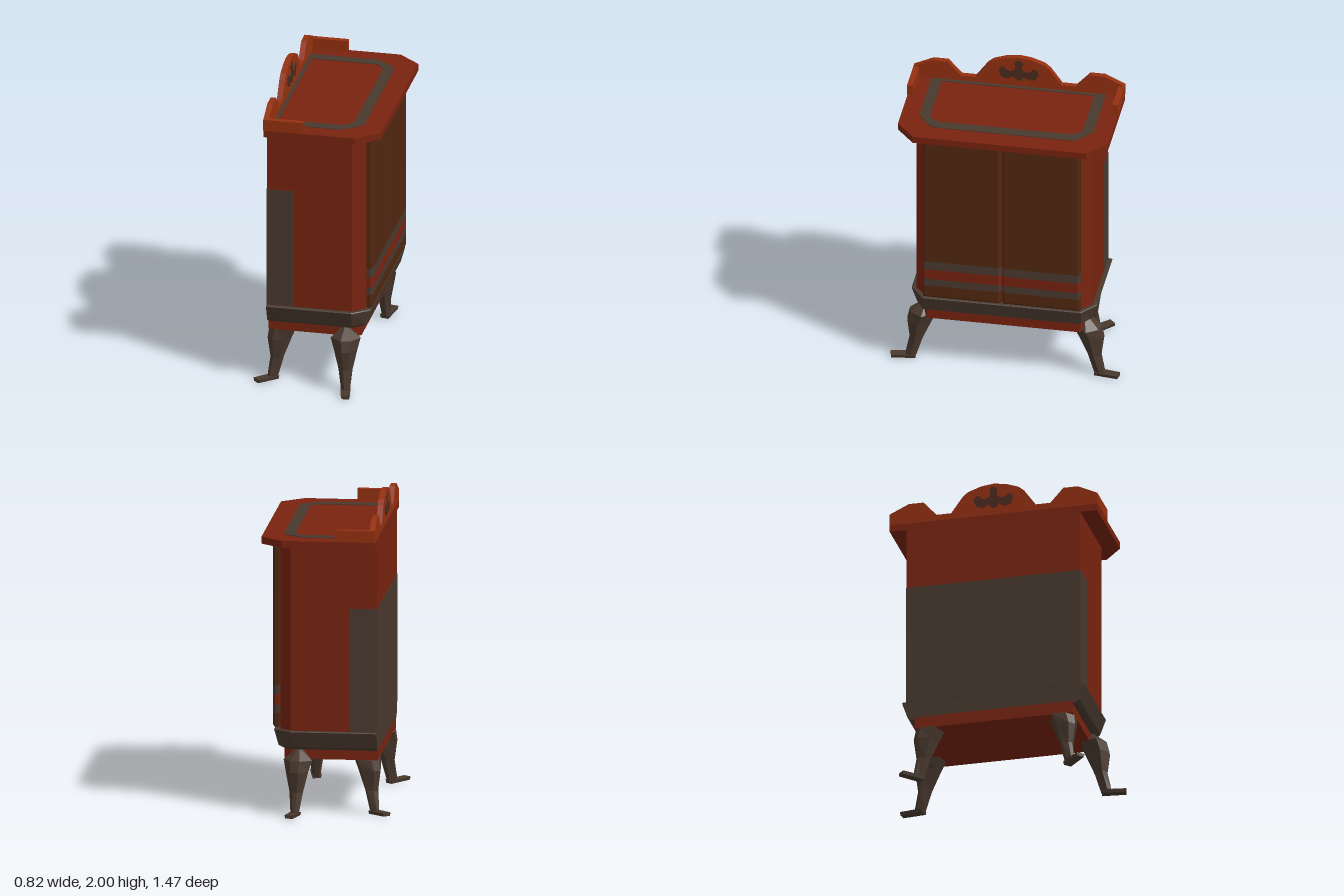
import * as THREE from 'three';

const mat = (name, color) => {
  const m = new THREE.MeshStandardMaterial({ color });
  m.name = name;
  return m;
};

// Flat-shaded solid through stacked convex rings of [x, y, z] points
function loft(rings) {
  const v = [];
  const tri = (a, b, c) => v.push(...a, ...b, ...c);
  const n = rings[0].length;
  for (let k = 0; k < rings.length - 1; k++) {
    for (let i = 0; i < n; i++) {
      const j = (i + 1) % n, lo = rings[k], hi = rings[k + 1];
      tri(lo[i], hi[i], hi[j]);
      tri(lo[i], hi[j], lo[j]);
    }
  }
  const bottom = rings[0], top = rings[rings.length - 1];
  for (let i = 1; i < n - 1; i++) {
    tri(bottom[0], bottom[i], bottom[i + 1]);
    tri(top[0], top[i + 1], top[i]);
  }
  const g = new THREE.BufferGeometry();
  g.setAttribute('position', new THREE.Float32BufferAttribute(v, 3));
  g.computeVertexNormals();
  return g;
}

// Cabinet plan with the two front corners cut off
const plan = (y, x1, xc, z, zc, x0 = -0.325) =>
  [[x1, y, zc], [xc, y, z], [x0, y, z], [x0, y, -z], [xc, y, -z], [x1, y, -zc]];

// Closed symmetric shape from the points of its right half
function mirrored(half) {
  const pts = half.map(([a, b]) => new THREE.Vector2(a, b));
  const other = half.filter(([a]) => a > 0).reverse().map(([a, b]) => new THREE.Vector2(-a, b));
  return new THREE.Shape([...pts, ...other]);
}

export function createModel() {
  const red = mat('red wood', 0x78230f);
  const orange = mat('orange wood', 0x94300f);
  const iron = mat('dark iron', 0x49392e);
  const brown = mat('brown door', 0x512710);
  const carving = mat('dark carving', 0x4a2a1c);

  const model = new THREE.Group();
  const add = (name, geometry, material, parent = model) => {
    const mesh = new THREE.Mesh(geometry, material);
    mesh.name = name;
    parent.add(mesh);
    return mesh;
  };
  const box = (name, material, x0, x1, y0, y1, z0, z1) =>
    add(name, new THREE.BoxGeometry(x1 - x0, y1 - y0, z1 - z0), material)
      .position.set((x0 + x1) / 2, (y0 + y1) / 2, (z0 + z1) / 2);

  // Carcass
  add('base', loft([plan(0.35, 0.27, 0.22, 0.515, 0.49), plan(0.43, 0.27, 0.22, 0.515, 0.49)]), red);
  add('plinth', loft([
    plan(0.415, 0.275, 0.215, 0.535, 0.49),
    plan(0.435, 0.307, 0.22, 0.56, 0.505),
    plan(0.535, 0.335, 0.225, 0.595, 0.51),
    plan(0.54, 0.33, 0.225, 0.59, 0.505),
  ]), iron);
  add('body', loft([plan(0.54, 0.295, 0.225, 0.565, 0.5), plan(1.74, 0.295, 0.225, 0.565, 0.5)]), red);
  add('topSlab', loft([plan(1.74, 0.41, 0.27, 0.675, 0.555), plan(1.785, 0.41, 0.27, 0.675, 0.555)]), red);

  // Dark panel wrapping the back and the rear of both sides
  box('backPanel', iron, -0.328, -0.155, 0.54, 1.335, -0.568, 0.568);

  // Inlaid band on the top
  const outline = (x0, x1, xc, z, zc) =>
    [[x0, -z], [xc, -z], [x1 - 0.025, -zc - 0.045], [x1, -zc], [x1, zc], [x1 - 0.025, zc + 0.045], [xc, z], [x0, z]]
      .map(([x, y]) => new THREE.Vector2(x, y));
  const band = new THREE.Shape(outline(-0.29, 0.28, 0.15, 0.56, 0.44));
  band.holes.push(new THREE.Path(outline(-0.265, 0.21, 0.15, 0.49, 0.42)));
  const inlay = new THREE.ExtrudeGeometry(band, { depth: 0.004, bevelEnabled: false });
  add('topInlay', inlay.rotateX(-Math.PI / 2), iron).position.y = 1.785;

  // Doors with bevelled edges, striped across the lower part
  const stripes = [[0.565, 0.64, brown], [0.64, 0.69, iron], [0.69, 0.76, red], [0.76, 0.82, iron], [0.82, 1.715, brown]];
  for (const side of [-1, 1]) {
    const door = new THREE.Group();
    door.name = side > 0 ? 'leftDoor' : 'rightDoor';
    model.add(door);
    const zc = side * 0.255, h = 0.25, b = 0.014;
    const ring = (y, x1 = 0.345) => [
      [x1, y, zc + h - b], [0.33, y, zc + h], [0.305, y, zc + h],
      [0.305, y, zc - h], [0.33, y, zc - h], [x1, y, zc - h + b],
    ];
    for (const [y0, y1, m] of stripes) {
      const rings = [ring(y0), ring(y1)];
      if (y0 === 0.565) rings.unshift(ring(0.55, 0.332));
      if (y1 === 1.715) rings.push(ring(1.73, 0.332));
      add('doorSection', loft(rings), m, door);
    }
  }

  // Scalloped backboard and its short side rails
  const crest = mirrored([
    [0.677, 1.785], [0.677, 1.86], [0.55, 1.92], [0.455, 1.92], [0.37, 1.825], [0.275, 1.825],
    [0.2, 1.93], [0.165, 1.96], [0.08, 1.99], [0, 2],
  ]);
  const crestGeo = new THREE.ExtrudeGeometry(crest, { depth: 0.036, bevelEnabled: false });
  add('backboard', crestGeo.rotateY(Math.PI / 2), orange).position.x = -0.325;
  for (const s of [-1, 1]) {
    box('sideRail', orange, -0.29, -0.065, 1.785, 1.86, Math.min(s * 0.64, s * 0.677), Math.max(s * 0.64, s * 0.677));
  }

  // Carved flourish on both faces of the backboard
  const flourish = mirrored([
    [0, 1.83], [0.022, 1.84], [0.03, 1.86], [0.07, 1.84], [0.105, 1.845], [0.127, 1.88], [0.122, 1.915],
    [0.095, 1.925], [0.08, 1.905], [0.055, 1.895], [0.025, 1.91], [0.02, 1.93], [0.028, 1.955], [0.012, 1.975], [0, 1.978],
  ]);
  for (const x of [-0.328, -0.29]) {
    const g = new THREE.ExtrudeGeometry(flourish, { depth: 0.005, bevelEnabled: false });
    add('flourish', g.rotateY(Math.PI / 2), carving).position.x = x;
  }

  // Cabriole legs: [y, inner reach, outer reach, width]
  const legSections = [
    [0.005, 0.08, 0.14, 0.05], [0.035, 0.07, 0.14, 0.06], [0.15, 0.035, 0.115, 0.09],
    [0.28, -0.02, 0.13, 0.15], [0.35, -0.05, 0.112, 0.19], [0.415, -0.01, 0.035, 0.04],
  ];
  const legGeo = loft(legSections.map(([y, a, b, w]) => {
    const m = a + (b - a) * 0.6;
    return [[w / 2, y, m], [w / 6, y, b], [-w / 6, y, b], [-w / 2, y, m], [-w / 4, y, a], [w / 4, y, a]];
  }));
  const toeGeo = loft([[0, 0.026], [0.022, 0.032]].map(([y, w]) =>
    [[w, y, 0.08], [w * 0.9, y + 0.006, 0.235], [-w * 0.9, y + 0.006, 0.235], [-w, y, 0.08]]));
  for (const s of [-1, 1]) {
    for (const [name, x, z, dx, dz] of [['frontLeg', 0.17, 0.5, 0.2, 0.98], ['backLeg', -0.23, 0.413, -0.68, 0.73]]) {
      const leg = new THREE.Group();
      leg.name = name;
      leg.position.set(x, 0, s * z);
      leg.rotation.y = Math.atan2(dx, s * dz);
      add('shin', legGeo, iron, leg);
      add('toe', toeGeo, iron, leg);
      model.add(leg);
    }
  }
  return model;
}
